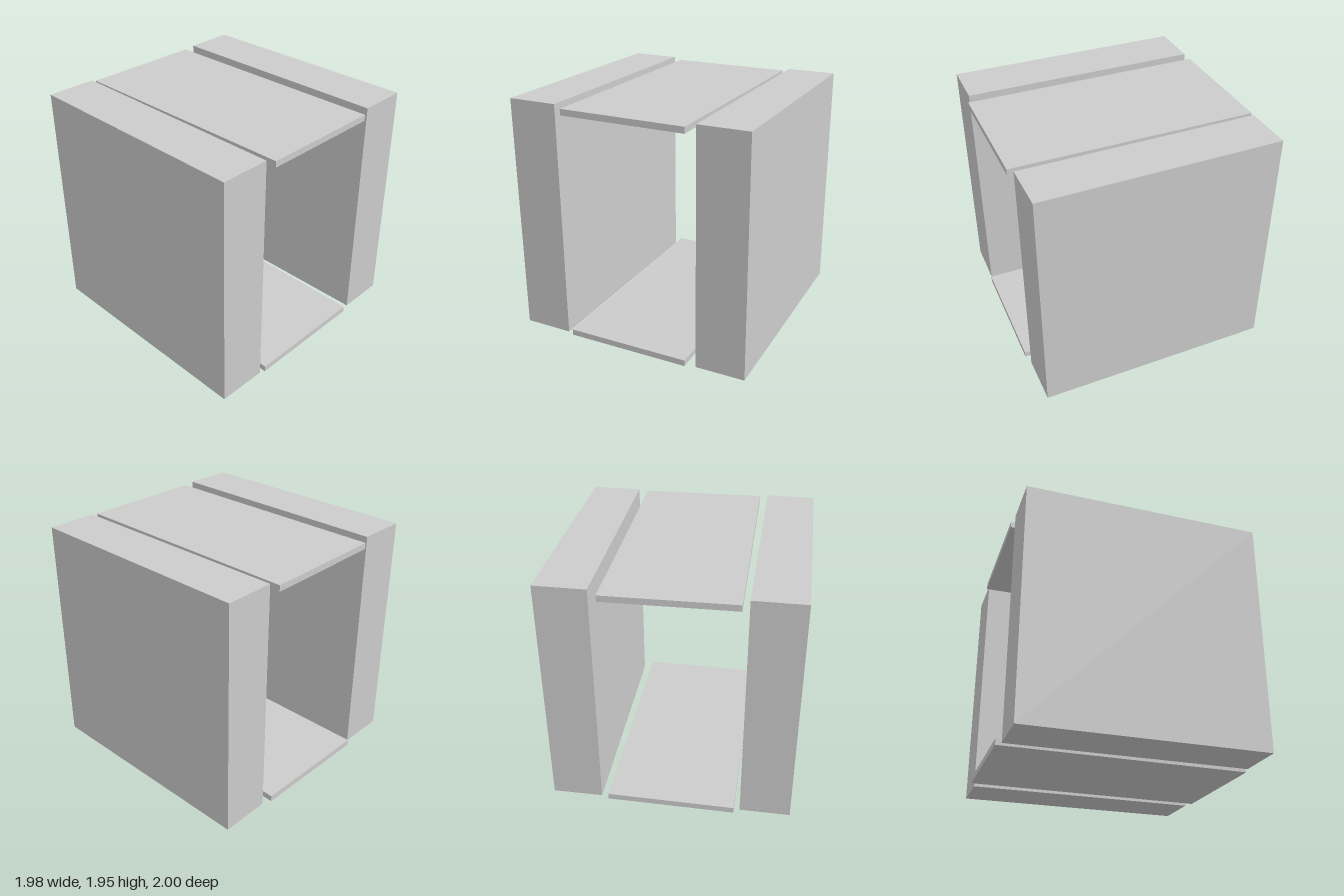
import * as THREE from 'three';

const material = new THREE.MeshStandardMaterial({ color: 0xcccccc, flatShading: true });

// A plain slab: size, centre and a slight hand-placed tilt
function slab(name, size, position, tilt) {
  const mesh = new THREE.Mesh(new THREE.BoxGeometry(...size), material);
  mesh.name = name;
  mesh.position.set(...position);
  mesh.rotation.set(...tilt);
  return mesh;
}

export function createModel() {
  const model = new THREE.Group();
  model.name = 'openFrame';

  // Thick side blocks
  model.add(slab('rightBlock', [0.405, 1.943, 1.935], [-0.782, 0.985, 0.005], [0, -0.003, 0.002]));
  model.add(slab('leftBlock', [0.405, 1.938, 1.925], [0.774, 0.985, -0.001], [0, 0.007, 0.004]));

  // Thin panels above and below the opening
  model.add(slab('topPanel', [1.02, 0.05, 1.985], [-0.012, 1.907, 0.004], [-0.003, 0.005, -0.002]));
  model.add(slab('bottomPanel', [1.033, 0.05, 1.985], [-0.015, 0.037, -0.006], [0.004, -0.003, 0.01]));

  return model;
}
